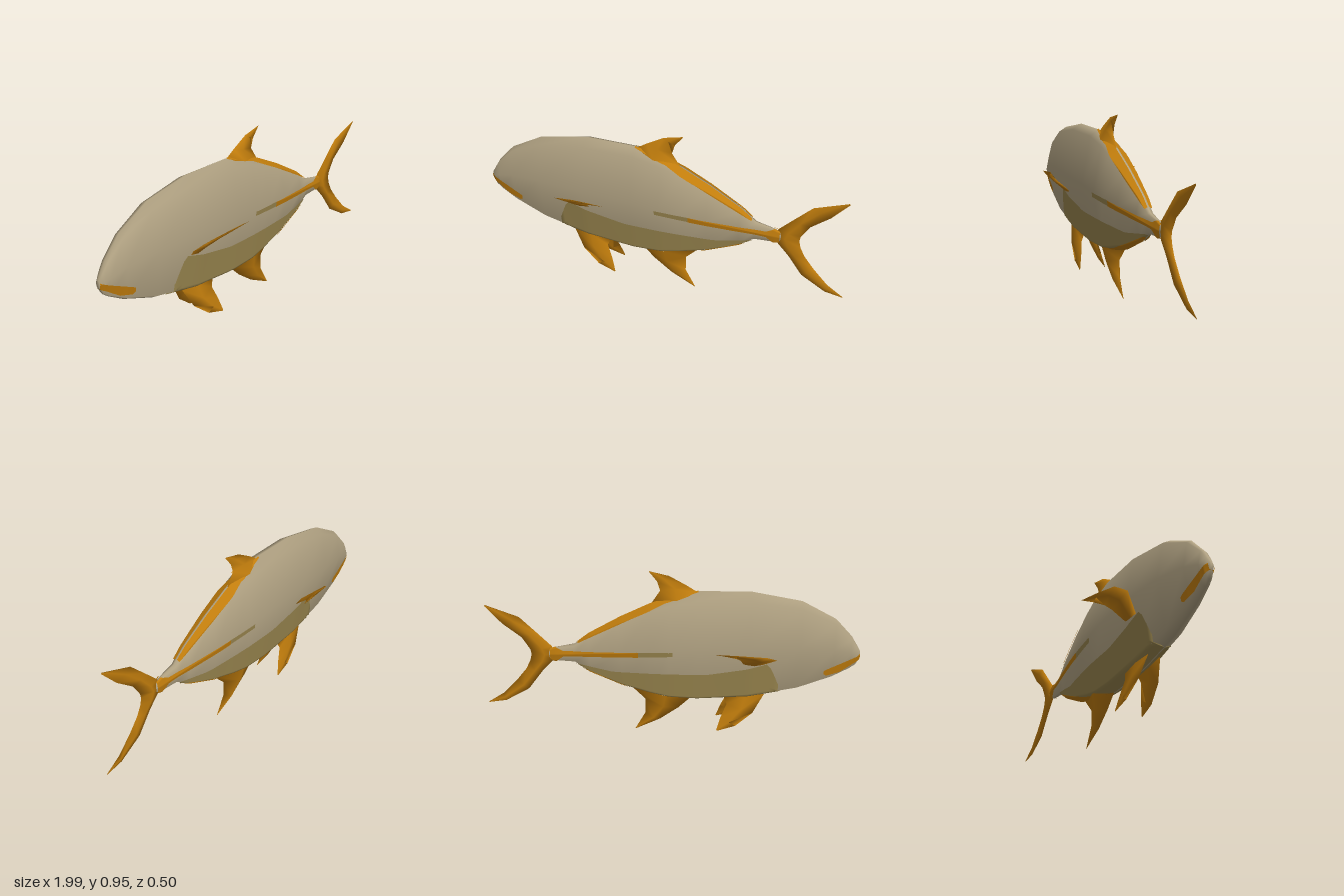
import * as THREE from 'three';

const material = (name, color) => Object.assign(new THREE.MeshStandardMaterial({ color }), { name });

// Body stations: x, top, bottom, half width
const STATIONS = [
  [-1, 0.515, 0.475, 0.014], [-0.98, 0.55, 0.435, 0.027], [-0.95, 0.6, 0.41, 0.035],
  [-0.86, 0.7, 0.355, 0.052], [-0.68, 0.8, 0.283, 0.08], [-0.42, 0.85, 0.23, 0.102],
  [-0.15, 0.85, 0.212, 0.101], [0, 0.815, 0.22, 0.094], [0.1, 0.775, 0.245, 0.085],
  [0.25, 0.7, 0.295, 0.067], [0.42, 0.6, 0.375, 0.041], [0.5, 0.535, 0.43, 0.027],
  [0.6, 0.515, 0.435, 0.016], [0.66, 0.49, 0.455, 0.006],
];
// Half cross-section: height fraction, width fraction
const SECTION = [[1, 0], [0.95, 0.54], [0.55, 1], [0.05, 0.54], [0, 0]];

// Linear lookup of column k in a table sorted by its first column
function lookup(table, x, k = 1) {
  let i = 1;
  while (i < table.length - 1 && table[i][0] < x) i++;
  const [a, b] = [table[i - 1], table[i]];
  const f = THREE.MathUtils.clamp((x - a[0]) / (b[0] - a[0]), 0, 1);
  return a[k] + (b[k] - a[k]) * f;
}
const topAt = (x) => lookup(STATIONS, x, 1);
const bottomAt = (x) => lookup(STATIONS, x, 2);
const SECTION_UP = [...SECTION].reverse();
function halfWidth(x, y) {
  const lo = bottomAt(x);
  return lookup(STATIONS, x, 3) * lookup(SECTION_UP, (y - lo) / (topAt(x) - lo));
}

function build(points, index) {
  const g = new THREE.BufferGeometry();
  g.setAttribute('position', new THREE.Float32BufferAttribute(points.flat(), 3));
  g.setIndex(index);
  g.computeVertexNormals();
  return g;
}

// Skin over closed rings of equal length
function loft(rings) {
  const n = rings[0].length, index = [];
  for (let i = 0; i < rings.length - 1; i++) {
    for (let j = 0; j < n; j++) {
      const a = i * n + j, c = i * n + ((j + 1) % n);
      index.push(a, c, a + n, a + n, c, c + n);
    }
  }
  return build(rings.flat(), index);
}

function bodyGeometry() {
  const ring = ([x, top, bottom, w]) => {
    const side = SECTION.map(([v, u]) => [x, bottom + (top - bottom) * v, u * w]);
    const other = side.slice(1, -1).reverse().map(([px, y, z]) => [px, y, -z]);
    return [...side, ...other];
  };
  const collapse = (r, x, y) => r.map(() => [x, y, 0]);
  const rings = STATIONS.map(ring);
  return loft([collapse(rings[0], -1, 0.495), ...rings, collapse(rings[0], 0.66, 0.475)]);
}

// Painted patch hugging the body side between two height curves
function patchGeometry(x0, x1, low, high, lift) {
  const NX = 48, NY = 24, points = [], index = [];
  for (let i = 0; i <= NX; i++) {
    const x = x0 + ((x1 - x0) * i) / NX;
    const lo = Math.max(low(x), bottomAt(x)), hi = Math.min(high(x), topAt(x));
    for (let j = 0; j <= NY; j++) {
      const y = lo + ((hi - lo) * j) / NY;
      const v = (y - bottomAt(x)) / (topAt(x) - bottomAt(x));
      points.push([x, y + (v - 0.5) * 2 * lift, halfWidth(x, y) + lift]);
      if (i < NX && j < NY) {
        const a = i * (NY + 1) + j, b = a + NY + 1;
        index.push(a, b, a + 1, b, b + 1, a + 1);
      }
    }
  }
  return build(points, index);
}

// Lens-shaped fin from rows: lead u, lead v, trail u, trail v, half thickness
function finGeometry(rows, place) {
  return loft(rows.map(([lu, lv, tu, tv, t]) => {
    const mu = lu + (tu - lu) * 0.45, mv = lv + (tv - lv) * 0.45;
    return [place(lu, lv, 0), place(mu, mv, t), place(tu, tv, 0), place(mu, mv, -t)];
  }));
}

export function createModel() {
  const group = new THREE.Group();
  const skin = material('silver tan skin', 0xb3a484);
  const belly = material('olive belly', 0x9c8850);
  const orange = material('amber fins', 0xc07c0c);

  const add = (name, geometry, mat, mirrored = false) => {
    const mesh = new THREE.Mesh(geometry, mat);
    mesh.name = name;
    if (mirrored) mesh.scale.z = -1;
    group.add(mesh);
  };
  const pair = (name, geometry, mat) => {
    add(name + 'Left', geometry, mat);
    add(name + 'Right', geometry, mat, true);
  };
  const curve = (...table) => (x) => lookup(table, x);

  add('body', bodyGeometry(), skin);

  // Painted markings
  pair('bellyPatch', patchGeometry(-0.6, 0.49, bottomAt,
    curve([-0.6, 0.27], [-0.57, 0.36], [-0.52, 0.475], [-0.4, 0.44], [-0.2, 0.403], [0.3, 0.395], [0.49, 0.43]),
    0.003), belly);
  pair('fadedStripe', patchGeometry(-0.02, 0.17, curve([-0.02, 0.515], [0.17, 0.5]),
    curve([-0.02, 0.54], [0.17, 0.53]), 0.003), belly);
  pair('sideStripe', patchGeometry(0.16, 0.63,
    curve([0.16, 0.5], [0.5, 0.475], [0.56, 0.47], [0.61, 0.43]),
    curve([0.16, 0.53], [0.5, 0.503], [0.56, 0.5], [0.61, 0.52]), 0.005), orange);
  pair('lip', patchGeometry(-1, -0.815,
    curve([-1, 0.473], [-0.97, 0.455], [-0.9, 0.405], [-0.83, 0.385], [-0.815, 0.395]),
    curve([-1, 0.503], [-0.95, 0.48], [-0.83, 0.425], [-0.815, 0.415]), 0.004), orange);
  pair('backBand', patchGeometry(-0.15, 0.48,
    curve([-0.15, 0.845], [0.02, 0.79], [0.2, 0.7], [0.42, 0.58], [0.48, 0.545]), topAt, 0.005), orange);
  pair('ventralBand', patchGeometry(-0.12, 0.47, bottomAt,
    curve([-0.12, 0.215], [0, 0.235], [0.15, 0.28], [0.3, 0.34], [0.47, 0.415]), 0.005), orange);

  // Middle fins
  const upright = (u, v, t) => [u, v, t];
  const hanging = (u, v, t) => [u, v, -t];
  add('dorsalFin', finGeometry([
    [-0.15, 0.84, 0.09, 0.78, 0.04], [-0.09, 0.88, 0.045, 0.85, 0.014],
    [0, 0.932, 0.06, 0.9, 0.006], [0.1, 0.957, 0.102, 0.955, 0],
  ], upright), orange);
  add('analFin', finGeometry([
    [-0.13, 0.225, 0.2, 0.275, 0.05], [-0.05, 0.145, 0.13, 0.2, 0.036],
    [0.05, 0.07, 0.13, 0.11, 0.022], [0.183, 0.003, 0.187, 0.003, 0],
  ], hanging), orange);
  add('tailFin', finGeometry([
    [0.95, 0.757, 0.955, 0.752, 0], [0.78, 0.69, 0.87, 0.65, 0.005], [0.69, 0.595, 0.775, 0.57, 0.009],
    [0.62, 0.52, 0.735, 0.5, 0.014], [0.6, 0.475, 0.73, 0.47, 0.016], [0.62, 0.43, 0.74, 0.43, 0.014],
    [0.68, 0.365, 0.765, 0.38, 0.01], [0.76, 0.255, 0.82, 0.31, 0.007], [0.89, 0.178, 0.9, 0.225, 0.004],
    [0.985, 0.163, 0.99, 0.165, 0],
  ], hanging), orange);

  // Paired fins, splayed outward
  pair('pelvicFin', finGeometry([
    [-0.51, 0.26, -0.29, 0.25, 0.012], [-0.45, 0.15, -0.31, 0.2, 0.011],
    [-0.36, 0.075, -0.28, 0.125, 0.006], [-0.262, 0.045, -0.258, 0.05, 0],
  ], (u, v, t) => [u, v, 0.076 - (v - 0.045) * 0.2 - t]), orange);
  pair('pectoralFin', finGeometry([
    [-0.49, 0.085, -0.39, 0.085, 0.008], [-0.553, 0.165, -0.37, 0.15, 0.008],
    [-0.5, 0.207, -0.35, 0.18, 0.006], [-0.38, 0.229, -0.3, 0.214, 0.004], [-0.237, 0.25, -0.235, 0.25, 0],
  ], (u, v, t) => [u, 0.475 + (v - 0.09) * 0.91 - t * 0.74, v + t * 0.67]), orange);

  return group;
}
